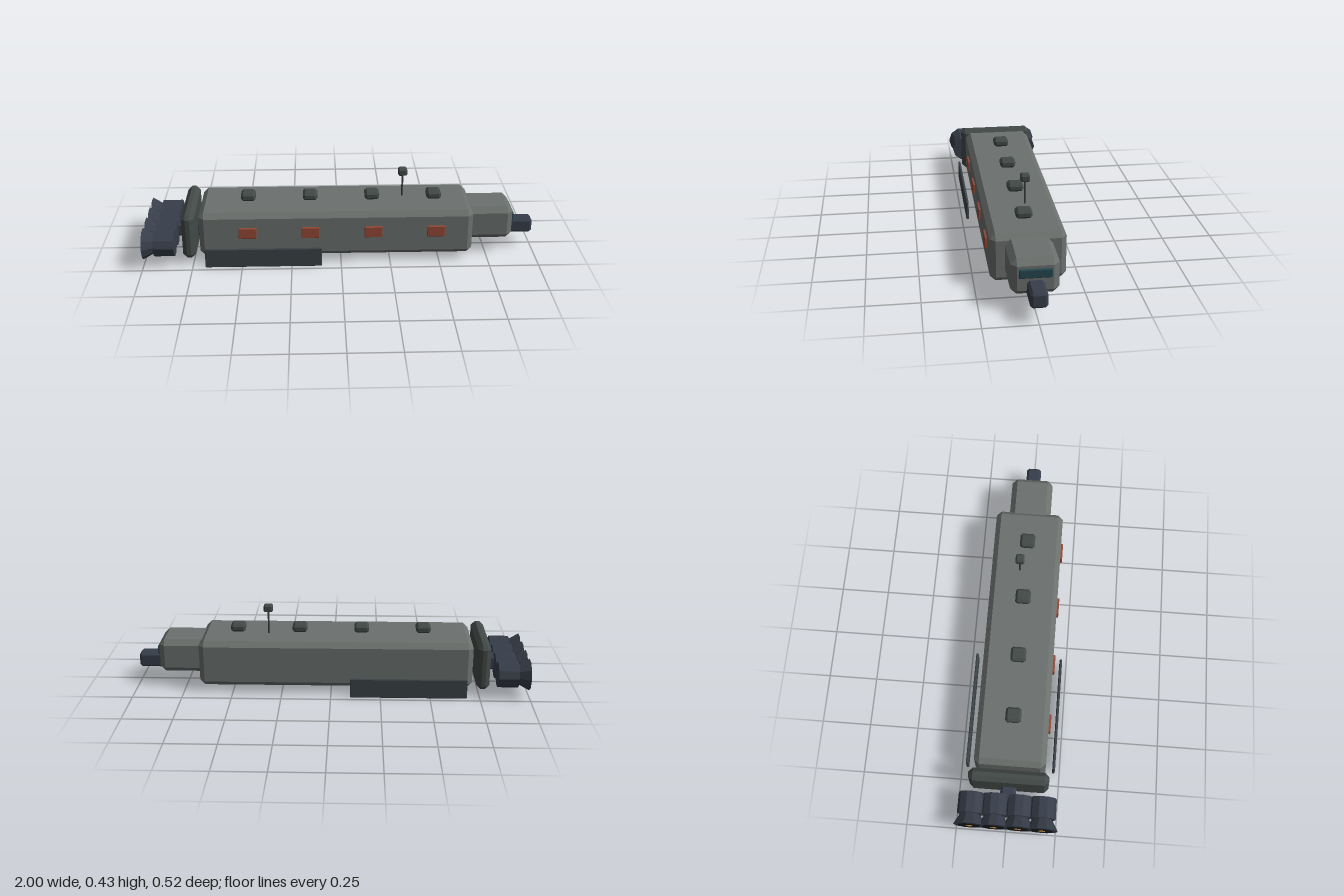
import * as THREE from 'three';
import { ConvexGeometry } from 'three/addons/geometries/ConvexGeometry.js';

const mat = (color) => new THREE.MeshStandardMaterial({ color, flatShading: true });
const hullGrey = mat(0x6b706d), darkGrey = mat(0x434a48), navy = mat(0x373e4a), finGrey = mat(0x3b4347);
const red = mat(0x964936), teal = mat(0x24464f), black = mat(0x15171b), orange = mat(0xc08a45);

// Box with every edge cut at 45 degrees, given by its min and max on each axis
function chamferBox([x0, x1], [y0, y1], [z0, z1], c) {
  const h = [(x1 - x0) / 2, (y1 - y0) / 2, (z1 - z0) / 2];
  const points = [];
  for (const sx of [-1, 1]) for (const sy of [-1, 1]) for (const sz of [-1, 1])
    for (let face = 0; face < 3; face++) {
      const [x, y, z] = h.map((v, axis) => (axis === face ? v : v - c));
      points.push(new THREE.Vector3(sx * x, sy * y, sz * z));
    }
  const g = new ConvexGeometry(points);
  g.translate((x0 + x1) / 2, (y0 + y1) / 2, (z0 + z1) / 2);
  return g;
}

// Ten-sided cylinder along x, from x0 (radius r0) to x1 (radius r1)
function tubeX(x0, x1, r0, r1) {
  const g = new THREE.CylinderGeometry(r1, r0, x1 - x0, 10);
  g.rotateY(Math.PI / 2); // put a corner on the z axis
  g.rotateZ(-Math.PI / 2);
  g.rotateX(Math.PI / 2);
  // keep a corner pointing along z
  g.translate((x0 + x1) / 2, 0, 0);
  return g;
}

export function createModel() {
  const model = new THREE.Group();
  const add = (name, geometry, material, parent = model) => {
    const mesh = new THREE.Mesh(geometry, material);
    mesh.name = name;
    parent.add(mesh);
    return mesh;
  };
  const around = (c, size) => [c - size / 2, c + size / 2];

  // Hull, cabin and nose
  add('hull', chamferBox([-0.715, 0.668], [0.033, 0.271], [-0.178, 0.178], 0.026), hullGrey);
  add('cabin', chamferBox([0.62, 0.882], [0.077, 0.253], [-0.11, 0.11], 0.028), hullGrey);
  add('cabinWindow', chamferBox([0.872, 0.892], [0.168, 0.211], [-0.075, 0.075], 0.004), teal);
  add('nose', chamferBox([0.85, 1], [0.077, 0.154], [-0.039, 0.039], 0.012), navy);

  // Rear bulkhead and the spine that carries the engines
  add('bulkhead', chamferBox([-0.8, -0.735], [0.033, 0.272], [-0.199, 0.199], 0.022), darkGrey);
  add('engineSpine', chamferBox([-0.86, -0.69], [0.08, 0.155], [-0.039, 0.039], 0.012), navy);

  // Roof modules and side hatches
  for (const x of [-0.47, -0.154, 0.163, 0.48]) {
    add('roofModule', chamferBox(around(x, 0.074), [0.276, 0.316], [-0.039, 0.039], 0.011), darkGrey);
    add('sideHatch', chamferBox(around(x, 0.09), [0.139, 0.197], [0.174, 0.189], 0.003), red);
  }

  // Sensor mast
  const mast = add('mast', new THREE.CylinderGeometry(0.005, 0.005, 0.13, 8), darkGrey);
  mast.position.set(0.322, 0.33, -0.028);
  add('mastHead', chamferBox(around(0.322, 0.046), [0.388, 0.425], around(-0.028, 0.045), 0.007), darkGrey);

  // Lower side plates
  for (const side of [-1, 1])
    add('sidePlate', chamferBox([-0.685, -0.097], [0, 0.1], around(side * 0.22, 0.013), 0.003), finGrey);

  // Row of four engines
  for (const z of [-0.179, -0.06, 0.06, 0.179]) {
    const engine = new THREE.Group();
    engine.name = 'engine';
    engine.position.set(0, 0.117, z);
    add('engineBody', tubeX(-0.94, -0.837, 0.066, 0.066), navy, engine);
    add('engineBell', tubeX(-0.996, -0.925, 0.08, 0.04), navy, engine);
    add('nozzleMouth', tubeX(-0.998, -0.99, 0.056, 0.056), black, engine);
    add('nozzleGlow', tubeX(-1, -0.99, 0.017, 0.017), orange, engine);
    model.add(engine);
  }
  return model;
}
